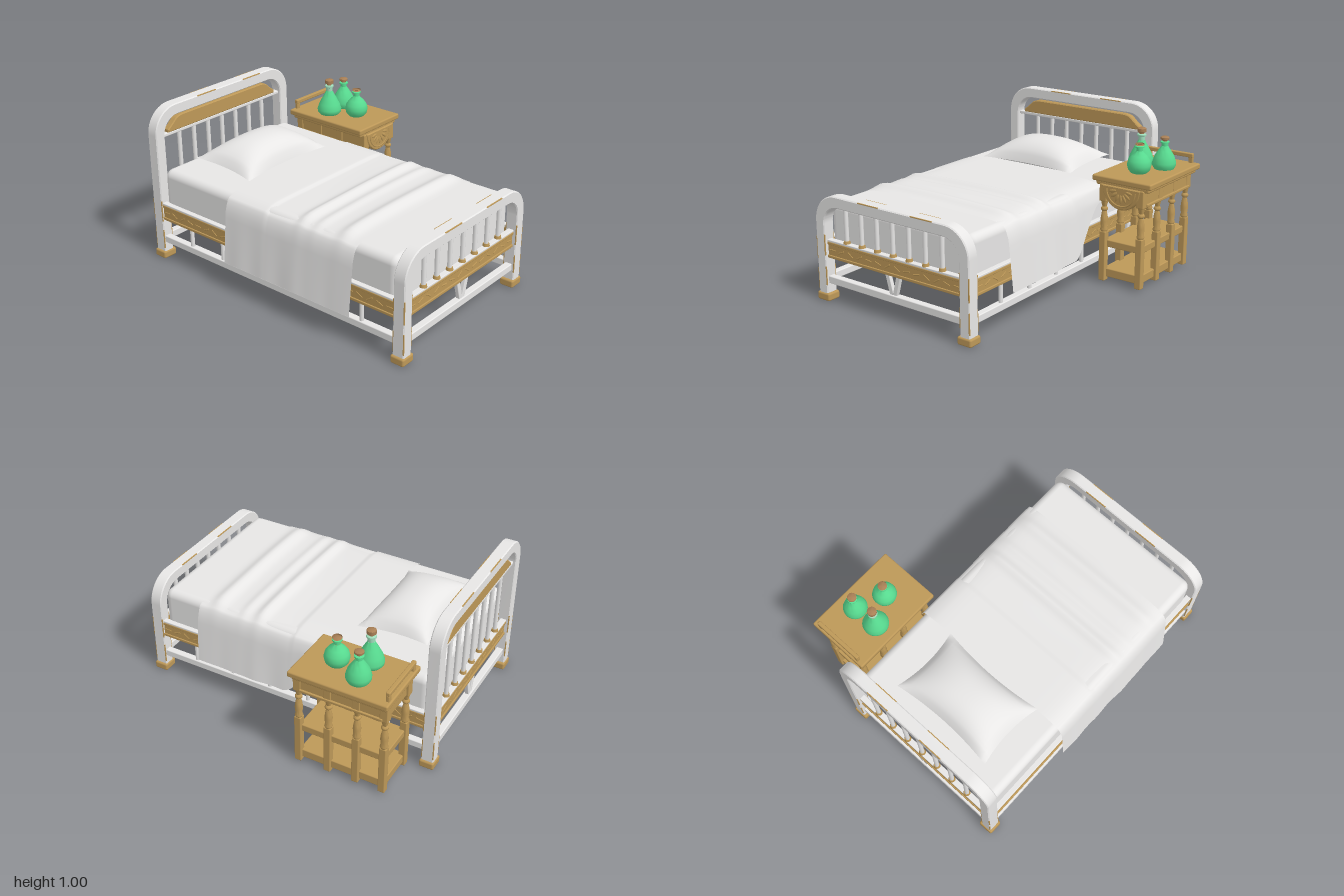
import * as THREE from 'three';
import { toCreasedNormals } from 'three/addons/utils/BufferGeometryUtils.js';
import { RoundedBoxGeometry } from 'three/addons/geometries/RoundedBoxGeometry.js';

const mat = (name, color, side = THREE.FrontSide) => {
  const m = new THREE.MeshStandardMaterial({ color, side });
  m.name = name;
  return m;
};

export function createModel() {
  const white = mat('painted frame', 0xf2f1f0);
  const linen = mat('linen', 0xf0efee);
  const cloth = mat('blanket cloth', 0xefeeed, THREE.DoubleSide);
  const wood = mat('golden wood', 0xbd9858);
  const glass = mat('green glass', 0x58db90);
  const paleGlass = mat('pale glass', 0x9fdcba);
  const cork = mat('cork', 0xa98056);

  const model = new THREE.Group();
  const bed = new THREE.Group();
  const table = new THREE.Group();
  bed.name = 'bed';
  table.name = 'sideTable';
  bed.position.x = -0.165;
  table.position.x = 0.592;
  model.add(bed, table);

  const add = (parent, name, geo, material, x = 0, y = 0, z = 0) => {
    const m = new THREE.Mesh(geo, material);
    m.name = name;
    m.position.set(x, y, z);
    parent.add(m);
    return m;
  };
  // Box given by its centre in x and z and its bottom and top in y
  const box = (parent, name, material, x, z, y0, y1, w, d, r = 0.006) =>
    add(parent, name, new RoundedBoxGeometry(w, y1 - y0, d, 2, r), material, x, (y0 + y1) / 2, z);
  const lathe = (pts, n = 20) =>
    toCreasedNormals(new THREE.LatheGeometry(pts.map(p => new THREE.Vector2(...p)), n), 0.7);
  const extrude = (shape, depth, bevel = 0.006) => {
    const g = new THREE.ExtrudeGeometry(shape, {
      depth: depth - 2 * bevel, bevelThickness: bevel, bevelSize: bevel, bevelOffset: -bevel,
      bevelSegments: 1, curveSegments: 10 });
    g.translate(0, 0, bevel - depth / 2);
    return toCreasedNormals(g, 0.6);
  };

  // Bent frame: two posts joined by a rounded top
  const arch = (top) => {
    const W = 0.582, t = 0.07, R = 0.17, w = W - t, r = R - t * 0.8, s = new THREE.Shape();
    s.moveTo(-W, 0.04);
    s.lineTo(-W, top - R);
    s.absarc(-W + R, top - R, R, Math.PI, Math.PI / 2, true);
    s.absarc(W - R, top - R, R, Math.PI / 2, 0, true);
    s.lineTo(W, 0.04);
    s.lineTo(w, 0.04);
    s.lineTo(w, top - t - r);
    s.absarc(w - r, top - t - r, r, 0, Math.PI / 2, false);
    s.absarc(-w + r, top - t - r, r, Math.PI / 2, Math.PI, false);
    s.lineTo(-w, 0.04);
    return extrude(s, 0.077, 0.006);
  };

  // Gold board with raised borders and shallow carving; along = 'x' or 'z'
  const board = (parent, name, x, z, len, along) => {
    const g = new THREE.Group();
    g.name = name;
    box(g, 'boardCore', wood, 0, 0, 0.28, 0.37, len, 0.026);
    box(g, 'boardTopBorder', wood, 0, 0, 0.355, 0.373, len, 0.04, 0.004);
    box(g, 'boardBottomBorder', wood, 0, 0, 0.272, 0.29, len, 0.04, 0.004);
    box(g, 'boardCap', white, 0, 0, 0.372, 0.386, len, 0.038, 0.004);
    const count = Math.floor(len / 0.07);
    for (let i = 0; i < count; i++) {
      const leaf = box(g, 'carvedLeaf', wood, (i + 0.5) * len / count - len / 2, 0, 0.318, 0.327, 0.05, 0.032, 0.003);
      leaf.rotation.z = 0.6 * Math.sin(i * 2.4);
    }
    g.position.set(x, 0, z);
    if (along === 'z') g.rotation.y = Math.PI / 2;
    parent.add(g);
  };

  // Head and foot ends
  const ends = [['head', -0.948, 1.0, 0.8], ['foot', 0.948, 0.67, 0.61]];
  for (const [name, z, top, barTop] of ends) {
    add(bed, name + 'Frame', arch(top), white, 0, 0, z);
    board(bed, name + 'Board', 0, z, 1.03, 'x');
    box(bed, name + 'LowerRail', white, 0, z, 0.11, 0.157, 1.03, 0.045);
    for (const s of [-1, 1]) {
      box(bed, name + 'Shoe', wood, s * 0.545, z, 0, 0.05, 0.098, 0.092, 0.012);
      // Splayed centre brace
      const brace = box(bed, name + 'Brace', white, s * 0.027, z, 0.15, 0.28, 0.03, 0.025, 0.004);
      brace.rotation.z = -s * 0.26;
      // Worn paint along the edges of the posts and the top
      for (const f of [-1, 1]) {
        const edge = z + f * 0.0345;
        for (const [a, b] of [[0.07, 0.2], [0.26, 0.4]]) {
          box(bed, 'wornOuterEdge', wood, s * 0.578, edge, a, b, 0.008, 0.008, 0.002);
          box(bed, 'wornInnerEdge', wood, s * 0.516, edge, a + 0.03, b + 0.02, 0.008, 0.008, 0.002);
        }
        box(bed, 'wornTopEdge', wood, s * 0.2 + 0.05, edge, top - 0.008, top, 0.16, 0.008, 0.002);
      }
    }
    for (let i = -3; i <= 3; i++) {
      add(bed, name + 'Spindle', new THREE.CylinderGeometry(0.014, 0.014, barTop - 0.37, 10), white,
        i * 0.122, (barTop + 0.38) / 2, z);
      add(bed, name + 'Collar', new THREE.CylinderGeometry(0.018, 0.022, 0.018, 10), wood, i * 0.122, 0.394, z);
    }
  }

  // Carved crest on the headboard
  box(bed, 'crestRail', white, 0, -0.948, 0.8, 0.822, 1.03, 0.04);
  const crest = new THREE.Shape();
  crest.moveTo(-0.47, 0.82);
  crest.lineTo(0.47, 0.82);
  crest.lineTo(0.47, 0.84);
  crest.quadraticCurveTo(0.43, 0.87, 0.41, 0.89);
  crest.quadraticCurveTo(0.39, 0.912, 0.34, 0.914);
  crest.lineTo(-0.34, 0.914);
  crest.quadraticCurveTo(-0.39, 0.912, -0.41, 0.89);
  crest.quadraticCurveTo(-0.43, 0.87, -0.47, 0.84);
  add(bed, 'crest', extrude(crest, 0.045), wood, 0, 0, -0.948);

  // Side rails
  for (const s of [-1, 1]) {
    board(bed, 'sideBoard', s * 0.555, 0, 1.83, 'z');
    box(bed, 'sideLowerRail', white, s * 0.55, 0, 0.112, 0.157, 0.045, 1.83);
    for (let i = -2.5; i <= 2.5; i++)
      add(bed, 'sideStrut', new THREE.CylinderGeometry(0.013, 0.013, 0.13, 8), white, s * 0.553, 0.215, i * 0.27);
  }

  // Mattress
  add(bed, 'mattress', new RoundedBoxGeometry(1.085, 0.295, 1.82, 4, 0.05), linen, 0, 0.458, -0.005);

  // Pillow: a box pinched to a seam, with drawn-out corners
  const pillow = new THREE.BoxGeometry(2, 2, 2, 24, 1, 18);
  const pp = pillow.attributes.position;
  for (let i = 0; i < pp.count; i++) {
    const u = pp.getX(i), v = pp.getZ(i), up = pp.getY(i) > 0;
    const p = Math.max(0, (1 - Math.abs(u) ** 2.4) * (1 - Math.abs(v) ** 2.4)) ** 0.65;
    pp.setXYZ(i, u * 0.35 * (1 - 0.08 * (1 - v * v)), p * (up ? 0.128 : -0.035),
      v * 0.228 * (1 - 0.13 * (1 - u * u)));
  }
  pillow.computeVertexNormals();
  add(bed, 'pillow', pillow, linen, -0.025, 0.648, -0.565).rotation.x = 0.06;

  // Blanket: cross-sections over the bed, swept from head to foot
  const smooth = THREE.MathUtils.smoothstep, bump = (z, c, w) => Math.exp(-(((z - c) / w) ** 2));
  const rows = 64, side = 9, top = 24, pos = [], idx = [];
  for (let i = 0; i <= rows; i++) {
    const z = -0.34 + 0.97 * i / rows;
    const ridge = 0.024 * bump(z, 0.22, 0.035) + 0.012 * bump(z, 0.33, 0.03) + 0.026 * bump(z, 0.52, 0.045);
    const y = 0.612 + 0.008 * smooth(-z, 0.02, 0.04) + 0.006 * smooth(z, 0, 0.3);
    const wave = 0.3 + 0.15 * Math.sin(z * 31 + 2) + 0.5 * bump(z, 0.27, 0.1) + 0.25 * bump(z, 0.5, 0.06);
    const shoulder = y - 0.028 + ridge * 0.3;
    const drape = (s, k) => {
      const hem = s < 0 ? 0.18 + 0.012 * wave : 0.21 + 0.29 * smooth(-z, -0.02, 0.3);
      const drop = (shoulder - hem) * k;
      const x = 0.54 + 0.028 * Math.min(1, Math.sqrt(drop / 0.08)) + drop * (0.09 + 0.04 * wave);
      pos.push(s * x, shoulder - drop, z);
    };
    for (let j = 0; j < side; j++) drape(-1, (1 - j / side) ** 1.5);
    for (let j = 0; j <= top; j++) {
      const x = -0.54 + 1.08 * j / top, k = (x / 0.54) ** 12;
      pos.push(x, THREE.MathUtils.lerp(y + ridge + 0.005 * Math.sin(x * 5 + z * 4) * smooth(z, 0, 0.3), shoulder, k), z);
    }
    for (let j = 1; j <= side; j++) drape(1, (j / side) ** 1.5);
  }
  const n = 2 * side + top + 1;
  for (let i = 0; i < rows; i++)
    for (let j = 0; j < n - 1; j++) {
      const a = i * n + j, b = a + n;
      idx.push(a, b, a + 1, b, b + 1, a + 1);
    }
  const blanket = new THREE.BufferGeometry();
  blanket.setAttribute('position', new THREE.Float32BufferAttribute(pos, 3));
  blanket.setIndex(idx);
  blanket.computeVertexNormals();
  add(bed, 'blanket', blanket, cloth);

  // Side table top, apron and shelves
  const tz = -0.55;
  box(table, 'tableTop', wood, 0, tz, 0.655, 0.692, 0.412, 0.62, 0.01);
  box(table, 'tableMoulding', wood, 0, tz, 0.63, 0.66, 0.37, 0.59, 0.01);
  box(table, 'apron', wood, 0, tz, 0.535, 0.64, 0.3, 0.55);
  box(table, 'middleShelf', wood, 0, tz, 0.232, 0.278, 0.27, 0.55);
  box(table, 'bottomShelf', wood, 0, tz, 0.035, 0.09, 0.27, 0.55);
  box(table, 'backRail', wood, 0, -0.838, 0.725, 0.752, 0.33, 0.026);
  for (const s of [-1, 1]) {
    box(table, 'backRailPost', wood, s * 0.15, -0.838, 0.685, 0.73, 0.03, 0.022);
    box(table, 'apronBorder', wood, s * 0.152, tz, 0.535, 0.552, 0.02, 0.52, 0.004);
  }

  // Turned legs with square lower blocks
  const legTurning = lathe([[0.019, 0.33], [0.025, 0.345], [0.02, 0.36], [0.024, 0.4], [0.021, 0.43], [0.014, 0.465],
    [0.022, 0.475], [0.022, 0.485], [0.014, 0.495], [0.02, 0.52], [0.024, 0.54]], 12);
  for (const s of [-1, 1])
    for (const z of [-0.272, -0.465, -0.645, -0.815]) {
      box(table, 'legBlock', wood, s * 0.13, z, 0.012, 0.335, 0.044, 0.044);
      add(table, 'legTurning', legTurning, wood, s * 0.13, 0, z);
      box(table, 'legHead', wood, s * 0.13, z, 0.53, 0.64, 0.05, 0.05);
    }

  // Carved half-round plaque on the front, with a fan of petals
  const plaque = new THREE.Shape();
  plaque.moveTo(-0.135, 0.64);
  plaque.bezierCurveTo(-0.12, 0.45, 0.12, 0.45, 0.135, 0.64);
  add(table, 'plaque', extrude(plaque, 0.04), wood, 0, 0, -0.262);
  add(table, 'plaqueRim', new THREE.TorusGeometry(0.1, 0.006, 6, 20, Math.PI), wood, 0, 0.622, -0.243).rotation.z = Math.PI;
  for (let i = 0; i < 7; i++) {
    const a = Math.PI * (1 + (i + 0.5) / 7);
    const petal = add(table, 'petal', new THREE.SphereGeometry(1, 8, 6), wood,
      0.058 * Math.cos(a), 0.625 + 0.058 * Math.sin(a), -0.243);
    petal.scale.set(0.028, 0.01, 0.006);
    petal.rotation.z = a;
  }

  // Bottles: body, neck with lip, cork
  const bottle = (x, z, body, neck, r, y0, y1, corkTop) => {
    const g = new THREE.Group();
    g.name = 'bottle';
    g.position.set(x, 0.692, z);
    const h = y1 - y0;
    add(g, 'bottleBody', lathe([[0, 0], ...body, [r, y0]], 24), glass);
    add(g, 'bottleNeck', lathe([[r, y0], [r, y0 + h * 0.55], [r + 0.008, y0 + h * 0.65], [r + 0.008, y1 - 0.004],
      [r, y1], [0, y1]], 16), neck);
    add(g, 'cork', lathe([[r * 0.75, y1 - 0.005], [r * 0.8, y1 + 0.006], [r + 0.007, y1 + 0.012],
      [r + 0.007, corkTop - 0.005], [r, corkTop], [0, corkTop]], 14), cork);
    table.add(g);
  };
  bottle(-0.082, -0.61, [[0.065, 0], [0.078, 0.015], [0.08, 0.035], [0.068, 0.07], [0.045, 0.115], [0.028, 0.145]],
    paleGlass, 0.021, 0.16, 0.2, 0.238);
  bottle(0.078, -0.62, [[0.062, 0], [0.073, 0.02], [0.074, 0.04], [0.062, 0.08], [0.04, 0.115], [0.026, 0.135]],
    glass, 0.021, 0.145, 0.175, 0.203);
  bottle(0.003, -0.445, [[0.05, 0], [0.068, 0.02], [0.075, 0.05], [0.068, 0.08], [0.048, 0.108], [0.026, 0.128]],
    glass, 0.021, 0.138, 0.17, 0.178);

  return model;
}
